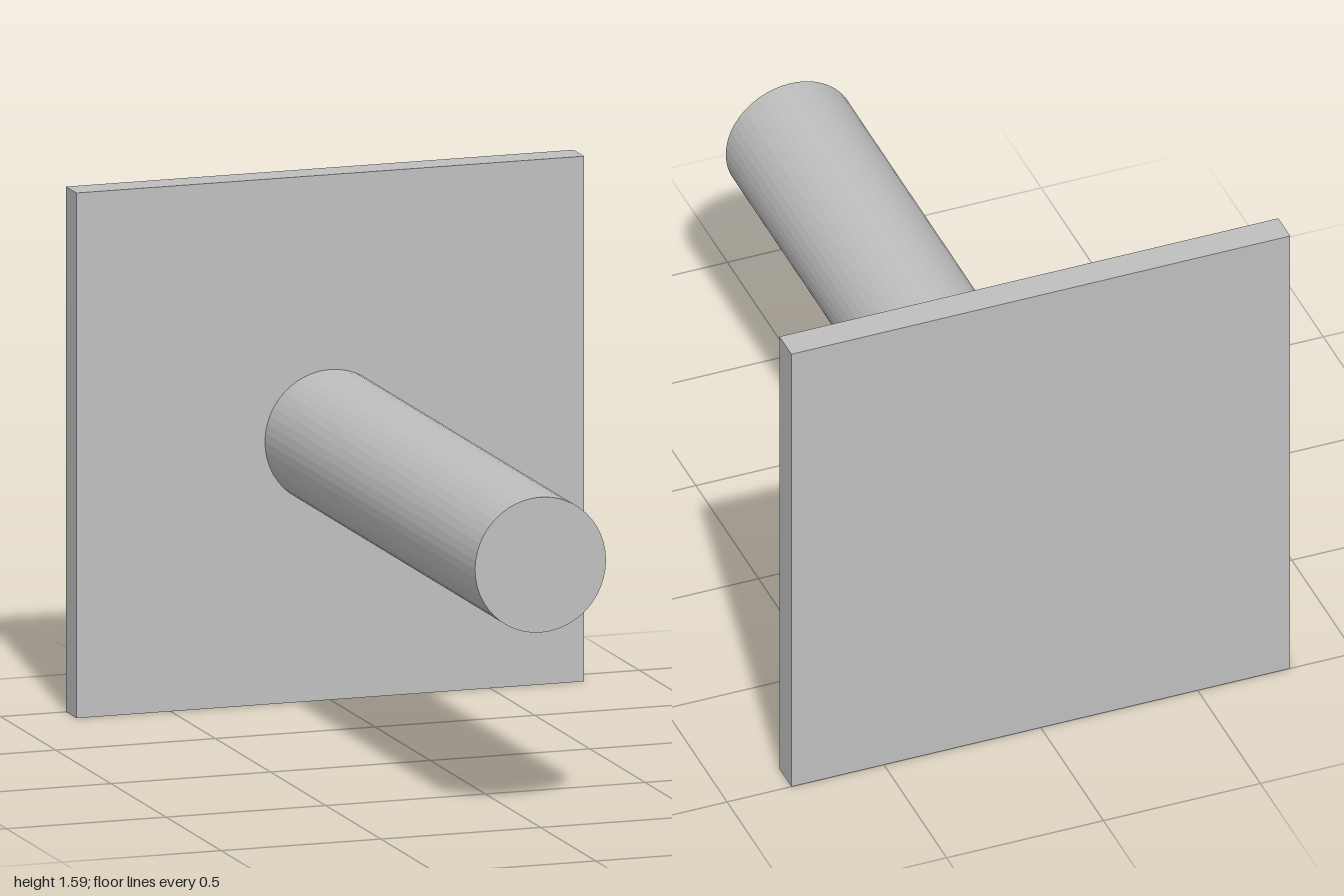
import * as THREE from 'three';

export function createModel() {
  const group = new THREE.Group();
  const grey = new THREE.MeshStandardMaterial({ color: 0xbfbfbf, flatShading: true });
  grey.name = 'plain grey';

  const size = 1.59, thickness = 0.095, radius = 0.205;
  const midY = size / 2;
  const plateFront = -1 + thickness;

  // Square upright plate at the back
  const plate = new THREE.Mesh(new THREE.BoxGeometry(size, size, thickness), grey);
  plate.name = 'backPlate';
  plate.position.set(0, midY, -1 + thickness / 2);
  group.add(plate);

  // Round peg running forward from the centre of the plate
  const length = 1 - plateFront;
  const pegGeometry = new THREE.CylinderGeometry(radius, radius, length, 48);
  pegGeometry.rotateX(Math.PI / 2);
  const peg = new THREE.Mesh(pegGeometry, grey);
  peg.name = 'peg';
  peg.position.set(0, midY, plateFront + length / 2);
  group.add(peg);

  return group;
}
